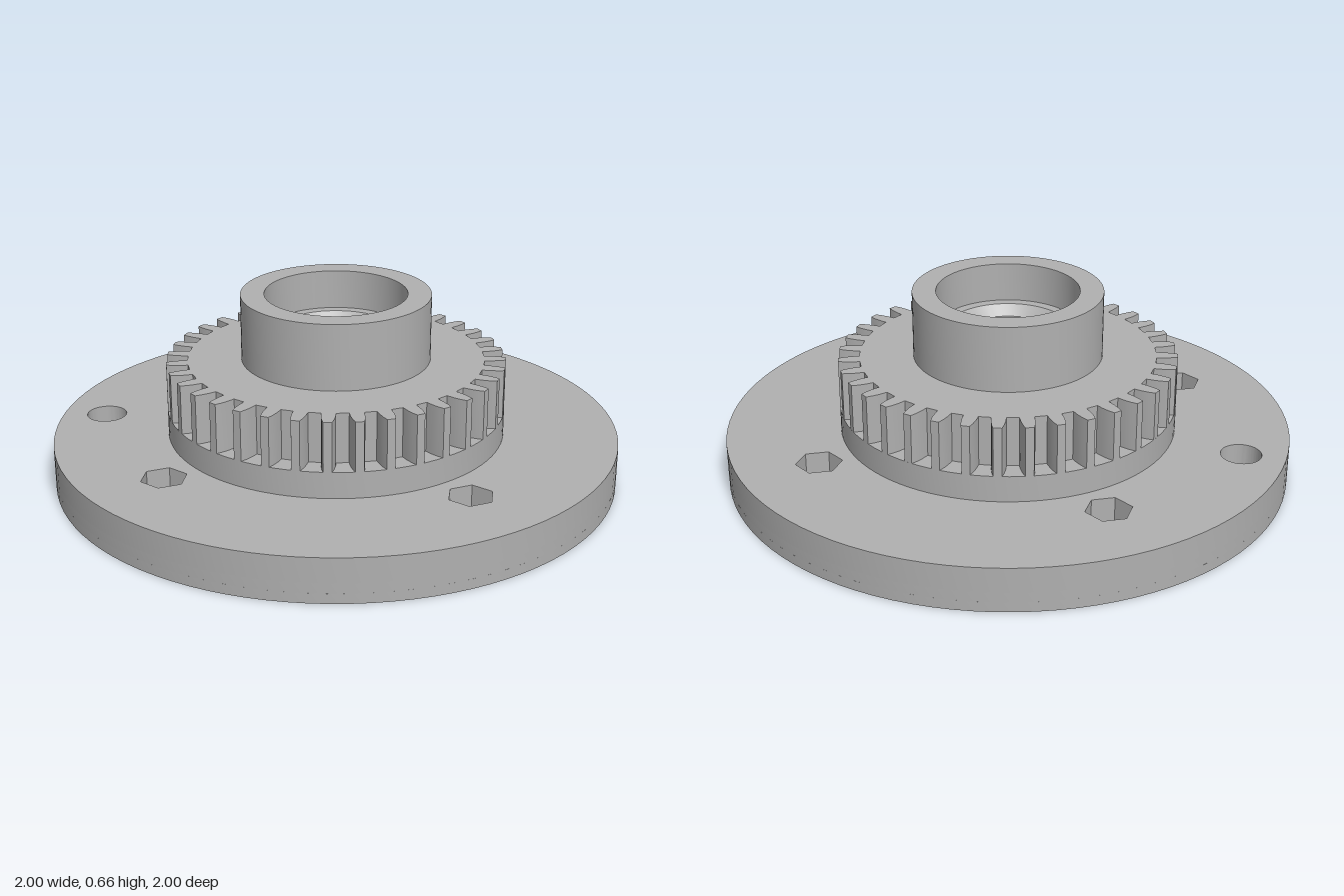
import * as THREE from 'three';
import { toCreasedNormals } from 'three/addons/utils/BufferGeometryUtils.js';

const CREASE = 0.45;

// Circular hole outline
function circle(x, y, r) {
  const p = new THREE.Path();
  p.absarc(x, y, r, 0, Math.PI * 2, true);
  return p;
}

// Hexagonal hole outline with corners pointing along z
function hexagon(x, y, r) {
  const p = new THREE.Path();
  for (let i = 0; i < 6; i++) {
    const a = Math.PI / 2 - i * Math.PI / 3;
    const px = x + r * Math.cos(a), py = y + r * Math.sin(a);
    if (i) p.lineTo(px, py); else p.moveTo(px, py);
  }
  p.closePath();
  return p;
}

// Horizontal slab of a plan shape between two heights
function slab(shape, y0, y1) {
  const g = new THREE.ExtrudeGeometry(shape, { depth: y1 - y0, bevelEnabled: false, curveSegments: 48 });
  g.rotateX(-Math.PI / 2);
  g.translate(0, y0, 0);
  return toCreasedNormals(g, CREASE);
}

function lathe(points) {
  const g = new THREE.LatheGeometry(points.map(([r, y]) => new THREE.Vector2(r, y)), 96);
  return toCreasedNormals(g, CREASE);
}

export function createModel() {
  const model = new THREE.Group();
  const grey = new THREE.MeshStandardMaterial({ color: 0xb0b0b0 });
  grey.name = 'plain grey';
  const add = (name, geometry) => {
    const mesh = new THREE.Mesh(geometry, grey);
    mesh.name = name;
    model.add(mesh);
  };

  const bore = 0.245, bolt = 0.51;
  const corners = [[1, 1], [-1, 1], [-1, -1], [1, -1]].map(([x, y]) => [x * bolt, y * bolt]);
  const disc = () => {
    const s = new THREE.Shape();
    s.absarc(0, 0, 1, 0, Math.PI * 2, false);
    return s;
  };

  // Flange underside, with a small rim notch on the +x side
  const notchAngle = Math.asin(0.033);
  const bottom = new THREE.Shape();
  bottom.absarc(0, 0, 1, notchAngle, Math.PI * 2 - notchAngle, false);
  bottom.lineTo(0.97, -0.033);
  bottom.lineTo(0.97, 0.033);
  bottom.closePath();
  bottom.holes.push(circle(0, 0, bore), ...corners.map(([x, y]) => circle(x, y, 0.038)));
  add('flangeBottom', slab(bottom, 0, 0.035));

  // Flange middle carries the screw holes
  const middle = disc();
  middle.holes.push(circle(0, 0, bore), ...corners.map(([x, y]) => circle(x, y, 0.038)));
  add('flangeMiddle', slab(middle, 0.035, 0.07));

  // Flange top has hexagonal nut pockets and one blind round pocket
  const top = disc();
  top.holes.push(circle(0, 0, bore), circle(-0.845, 0, 0.071),
    ...corners.map(([x, y]) => hexagon(x, y, 0.08)));
  add('flangeTop', slab(top, 0.07, 0.157));

  // Shoulder below the teeth
  add('gearShoulder', lathe([[0.597, 0.157], [0.597, 0.25], [0.5, 0.25]]));

  // Toothed ring, with gaps centred on the axes
  const teeth = 36, pitch = Math.PI * 2 / teeth;
  const flank = [[0.522, 0.047], [0.55, 0.043], [0.575, 0.035], [0.597, 0.024]];
  const outline = [];
  for (let i = 0; i < teeth; i++) {
    const mid = (i + 0.5) * pitch;
    const at = (r, a) => outline.push(new THREE.Vector2(r * Math.cos(mid + a), r * Math.sin(mid + a)));
    flank.forEach(([r, a]) => at(r, -a));
    [...flank].reverse().forEach(([r, a]) => at(r, a));
  }
  const gear = new THREE.Shape(outline);
  gear.holes.push(circle(0, 0, 0.3));
  add('gearTeeth', slab(gear, 0.25, 0.425));

  // Hub: outer wall, counterbore, chamfered throat and lower chamfer
  add('hub', lathe([
    [0.333, 0.425], [0.333, 0.66], [0.25, 0.66], [0.25, 0.52], [0.214, 0.52],
    [0.18, 0.485], [0.18, 0.226], [bore, 0.157],
  ]));

  return model;
}
